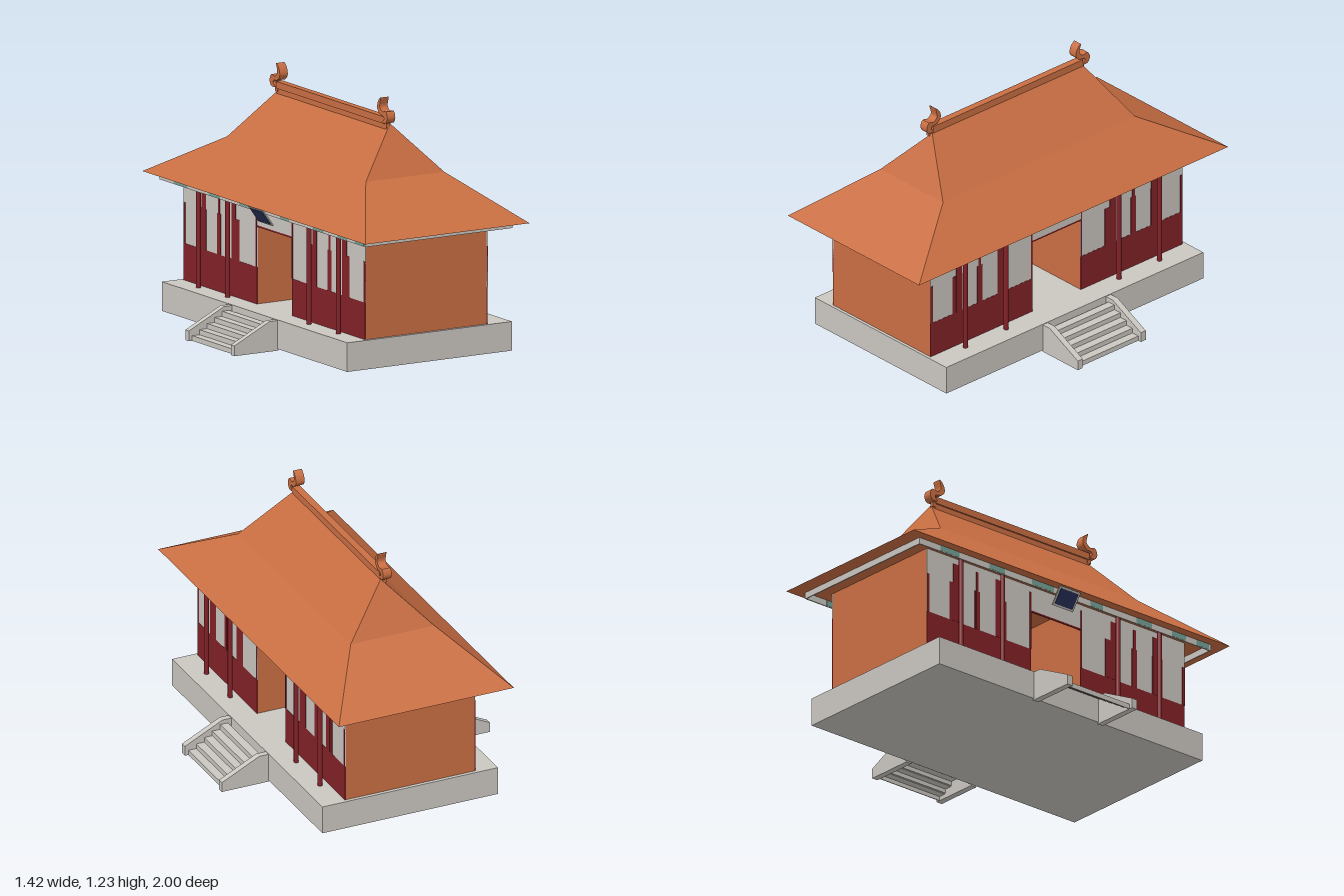
import * as THREE from 'three';

const mat = (name, color, side = THREE.FrontSide) => {
  const m = new THREE.MeshStandardMaterial({ color, side });
  m.name = name;
  return m;
};

export function createModel() {
  const root = new THREE.Group();
  root.name = 'pavilion';
  const tile = mat('terracotta', 0xc96e42);
  const stone = mat('pale stone', 0xcac6c0, THREE.DoubleSide);
  const red = mat('dark red', 0x822228);
  const teal = mat('painted teal', 0x74a094);
  const blue = mat('dark blue', 0x2c3560);

  const add = (name, geo, m, parent = root) => {
    const mesh = new THREE.Mesh(geo, m);
    mesh.name = name;
    parent.add(mesh);
    return mesh;
  };
  // box given by its two extreme corners
  const box = (name, m, x0, x1, y0, y1, z0, z1, parent = root) => {
    const b = add(name, new THREE.BoxGeometry(x1 - x0, y1 - y0, z1 - z0), m, parent);
    b.position.set((x0 + x1) / 2, (y0 + y1) / 2, (z0 + z1) / 2);
    return b;
  };

  // Stone platform
  box('platform', stone, -0.465, 0.462, 0.008, 0.15, -0.833, 0.83);

  // Stairs with sloping cheek walls, one flight on each long side
  const cheek = new THREE.Shape([[0.46, 0], [0.708, 0], [0.708, 0.05], [0.51, 0.147], [0.46, 0.147]]
    .map(([x, y]) => new THREE.Vector2(x, y)));
  for (const side of [1, -1]) {
    const stairs = new THREE.Group();
    stairs.name = side > 0 ? 'leftStairs' : 'rightStairs';
    for (const z of [-0.22, 0.188]) {
      const geo = new THREE.ExtrudeGeometry(cheek, { depth: 0.032, bevelEnabled: false });
      add('cheekWall', geo, stone, stairs).position.z = z;
    }
    for (let i = 0; i < 5; i++) {
      const x = 0.69 - i * 0.042, y = 0.025 * (i + 1);
      box('tread', stone, x - 0.042, x, y - 0.004, y, -0.188, 0.188, stairs);
      box('riser', stone, x - 0.004, x, y - 0.025, y - 0.004, -0.188, 0.188, stairs);
    }
    stairs.position.z = -0.015;
    if (side < 0) {
      stairs.rotation.y = Math.PI;
    }
    root.add(stairs);
  }

  // Two rooms with an open passage between them
  const X0 = -0.355, X1 = 0.335, P = 0.157, E = 0.815;
  for (const s of [1, -1]) {
    const zs = (a, b) => (s > 0 ? [a, b] : [-b, -a]);
    box('room', tile, X0 + 0.006, X1 - 0.006, 0.15, 0.66, ...zs(P, E));
    for (const [inner, outer] of [[X1 - 0.006, X1], [X0 + 0.006, X0]]) {
      const xr = (d) => {
        const o = outer + Math.sign(outer) * d;
        return [Math.min(inner, o), Math.max(inner, o)];
      };
      box('lowerPanel', red, ...xr(0), 0.15, 0.33, ...zs(P, E));
      box('windowPanel', stone, ...xr(-0.001), 0.33, 0.66, ...zs(P, E));
      // window posts: start, end and top
      for (const [a, b, top] of [[P, 0.165, 0.63], [0.312, 0.382, 0.53], [0.345, 0.382, 0.63],
        [0.48, 0.513, 0.53], [0.49, 0.505, 0.63], [0.61, 0.674, 0.53], [0.612, 0.65, 0.63], [0.8, E, 0.53]]) {
        box('windowPost', red, ...xr(top > 0.6 ? 0.0012 : 0.0006), 0.33, top, ...zs(a, b));
      }
    }
    // Round columns of the verandas
    for (const x of [0.377, -0.388]) {
      for (const z of [0.365, 0.628]) {
        const c = add('column', new THREE.CylinderGeometry(0.012, 0.012, 0.51, 12), red);
        c.position.set(x, 0.405, s * z);
      }
    }
  }

  // Lintels over the passage
  for (const x of [X0, X1 - 0.006]) {
    box('lintel', stone, x, x + 0.006, 0.535, 0.66, -P, P);
    box('lintelEdge', red, x, x + 0.006, 0.527, 0.535, -P, P);
  }

  // Thin frieze frame under the eaves with painted patches
  const bx0 = -0.422, bx1 = 0.408, bz = 0.922;
  for (const z of [bz - 0.006, -bz]) box('endFrieze', stone, bx0, bx1, 0.628, 0.662, z, z + 0.006);
  for (const x of [bx0, bx1 - 0.006]) {
    box('sideFrieze', stone, x, x + 0.006, 0.628, 0.662, -bz, bz);
    for (const [z, w] of [[0.87, 0.08], [0.72, 0.09], [0.5, 0.1], [0.2, 0.08], [-0.14, 0.14], [-0.43, 0.1], [-0.73, 0.12]]) {
      box('friezePaint', teal, x - 0.001, x + 0.007, 0.631, 0.66, z - w / 2, z + w / 2);
    }
  }

  // Tilted blank board hanging over one entrance
  const board = add('hangingBoard', new THREE.BoxGeometry(0.006, 0.1, 0.13), stone);
  board.position.set(-0.43, 0.617, 0);
  board.rotation.z = 0.62;
  const face = add('boardFace', new THREE.BoxGeometry(0.003, 0.08, 0.11), blue, board);
  face.position.x = -0.004;

  // Hipped roof from rectangular rings: x min, x max, y, half length
  const rings = [[-0.47, 0.455, 0.66, 1], [-0.23, 0.212, 0.87, 0.622], [-0.012, -0.008, 1.105, 0.49]]
    .map(([a, b, y, z]) => [[a, y, z], [b, y, z], [b, y, -z], [a, y, -z]]);
  const pos = [];
  const quad = (a, b, c, d) => pos.push(...a, ...b, ...c, ...a, ...c, ...d);
  for (let r = 0; r < 2; r++) {
    for (let i = 0; i < 4; i++) {
      const j = (i + 1) % 4;
      quad(rings[r][i], rings[r][j], rings[r + 1][j], rings[r + 1][i]);
    }
  }
  quad(rings[0][3], rings[0][2], rings[0][1], rings[0][0]);
  quad(...rings[2]);
  const roof = new THREE.BufferGeometry();
  roof.setAttribute('position', new THREE.Float32BufferAttribute(pos, 3));
  roof.computeVertexNormals();
  add('roof', roof, tile);

  // Ridge beam with a wider cap
  box('ridgeBeam', tile, -0.034, -0.008, 1.075, 1.115, -0.49, 0.49);
  box('ridgeCap', tile, -0.042, -0.006, 1.108, 1.142, -0.485, 0.485);

  // Curled ridge-end ornaments
  const curl = [[0.482, 1.118], [0.512, 1.115], [0.528, 1.14], [0.514, 1.172], [0.482, 1.168], [0.46, 1.188],
    [0.469, 1.234], [0.445, 1.212], [0.437, 1.178], [0.46, 1.152], [0.492, 1.146], [0.497, 1.134]];
  for (const s of [1, -1]) {
    const spline = new THREE.CatmullRomCurve3(curl.map(([z, y]) => new THREE.Vector3(s * z, y, 0)), true);
    const shape = new THREE.Shape(spline.getPoints(48).slice(0, -1).map((p) => new THREE.Vector2(p.x, p.y)));
    const geo = new THREE.ExtrudeGeometry(shape, { depth: 0.045, bevelEnabled: false });
    geo.rotateY(-Math.PI / 2).translate(-0.005, 0, 0);
    add('ridgeOrnament', geo, tile);
    const [z0, z1] = s > 0 ? [0.478, 0.5] : [-0.5, -0.478];
    box('ornamentNeck', tile, -0.036, -0.018, 1.09, 1.125, z0, z1);
  }
  return root;
}
